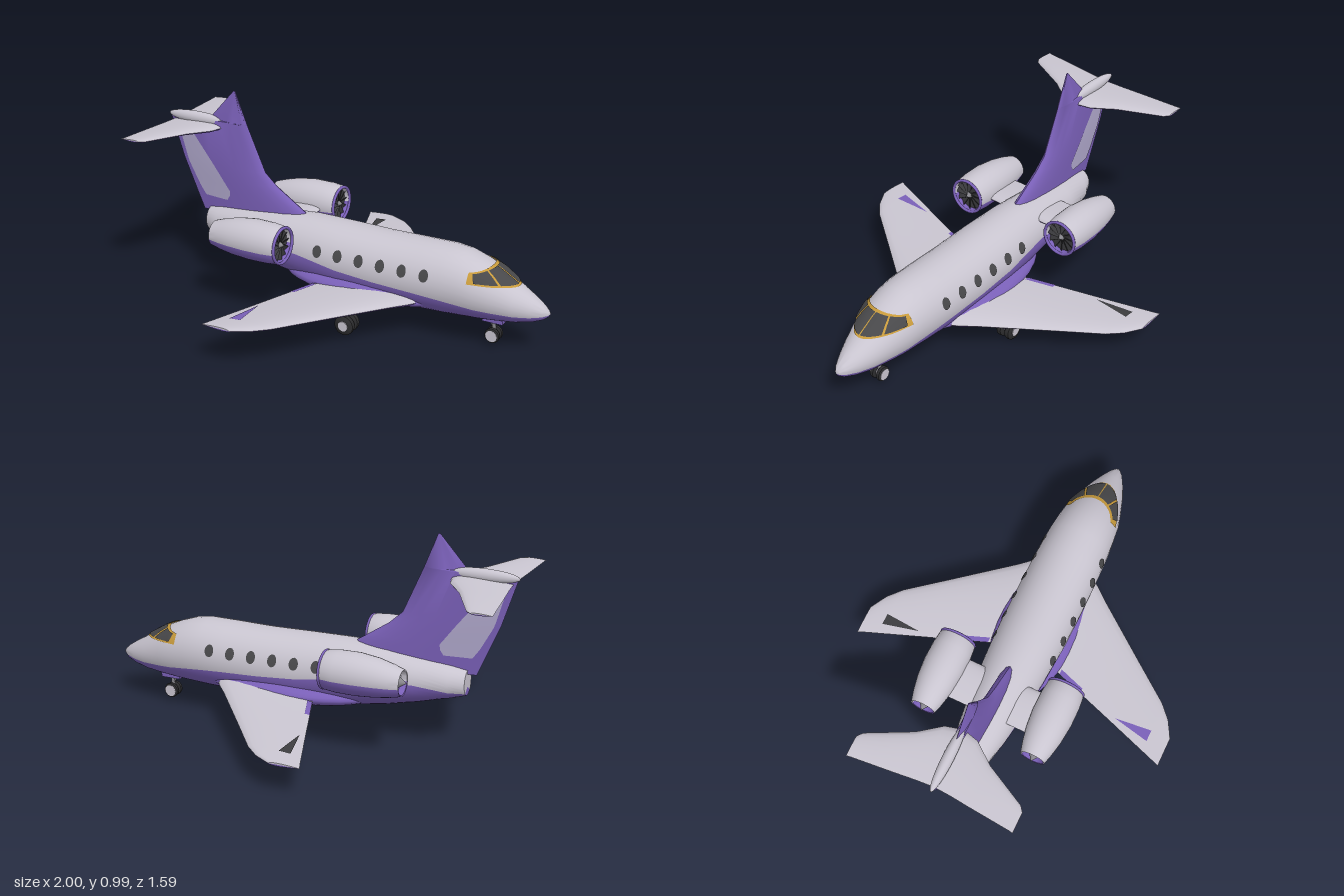
import * as THREE from 'three';
import { toCreasedNormals } from 'three/addons/utils/BufferGeometryUtils.js';
import { ParametricGeometry } from 'three/addons/geometries/ParametricGeometry.js';

const mat = (name, color, side = THREE.FrontSide) => {
  const m = new THREE.MeshStandardMaterial({ color, side });
  m.name = name;
  return m;
};
const V = (x, y, z) => new THREE.Vector3(x, y, z);

// Linear lookup in a table of rows sorted by their first column
function lookup(table, k) {
  let i = 0;
  while (i < table.length - 2 && k > table[i + 1][0]) i++;
  const a = table[i], b = table[i + 1];
  const f = THREE.MathUtils.clamp((k - a[0]) / (b[0] - a[0]), 0, 1);
  return a.map((v, j) => v + (b[j] - v) * f);
}

// Closed skin through rings; quads before index `split` use material 0, the rest material 1
function loft(rings, split, crease = 0.8) {
  const n = rings[0].length;
  const tip = r => {
    const c = r.reduce((s, p) => s.add(p), V(0, 0, 0)).divideScalar(n);
    return r.map(() => c);
  };
  const all = [tip(rings[0]), ...rings, tip(rings[rings.length - 1])];
  const pts = all.flat(), parts = [[], []];
  for (let i = 0; i < all.length - 1; i++) for (let j = 0; j < n; j++) {
    const a = i * n + j, b = i * n + (j + 1) % n;
    parts[j < split ? 0 : 1].push(a, b, a + n, b, b + n, a + n);
  }
  let vol = 0;
  const idx = parts.flat(), o = pts[0];
  for (let i = 0; i < idx.length; i += 3) {
    const [a, b, c] = [0, 1, 2].map(k => pts[idx[i + k]].clone().sub(o));
    vol += a.dot(b.cross(c));
  }
  if (vol < 0) for (let i = 0; i < idx.length; i += 3) [idx[i], idx[i + 1]] = [idx[i + 1], idx[i]];
  const g = new THREE.BufferGeometry().setFromPoints(pts);
  g.setIndex(idx);
  g.addGroup(0, parts[0].length, 0);
  g.addGroup(parts[0].length, parts[1].length, 1);
  return toCreasedNormals(g, crease);
}

// Fuselage stations: x, top, bottom, half width, paint line height
const BODY = [
  [-0.77, 0.38, 0.26, 0.05, 0.275], [-0.7, 0.395, 0.24, 0.085, 0.285], [-0.55, 0.415, 0.2, 0.115, 0.31],
  [-0.4, 0.435, 0.165, 0.135, 0.315], [-0.2, 0.45, 0.135, 0.152, 0.3], [0, 0.447, 0.12, 0.163, 0.27],
  [0.2, 0.443, 0.115, 0.165, 0.255], [0.4, 0.447, 0.118, 0.163, 0.245], [0.52, 0.449, 0.122, 0.158, 0.235],
  [0.6, 0.44, 0.126, 0.15, 0.225], [0.68, 0.413, 0.131, 0.14, 0.215], [0.75, 0.382, 0.136, 0.122, 0.208],
  [0.85, 0.322, 0.147, 0.09, 0.2], [0.92, 0.282, 0.162, 0.06, 0.2], [0.97, 0.249, 0.182, 0.033, 0.205],
  [0.992, 0.229, 0.2, 0.014, 0.21], [1, 0.217, 0.213, 0.002, 0.215]];
const bodyHalf = (x, y) => {
  const [, t, b, w] = lookup(BODY, x), s = (2 * y - t - b) / (t - b);
  return w * Math.sqrt(Math.max(0, 1 - s * s));
};

// Half thickness along a streamlined section, s = 0 at the leading edge
const foil = s => 5 * (0.2969 * Math.sqrt(s) - 0.126 * s - 0.3516 * s * s + 0.2843 * s ** 3 - 0.1036 * s ** 4);
function foilRing(le, te, thick, place, n = 10) {
  const ring = [];
  for (let i = 0; i < 2 * n; i++) {
    const s = 0.5 - 0.5 * Math.cos(Math.PI * i / n);
    ring.push(place(le + (te - le) * s, (i < n ? 1 : -1) * thick * foil(s)));
  }
  return ring;
}

// Fin stations: y, leading x, trailing x, thickness
const FIN = [
  [0.36, -0.18, -0.81, 0.07], [0.43, -0.21, -0.84, 0.07], [0.49, -0.3, -0.865, 0.064], [0.55, -0.39, -0.89, 0.06],
  [0.61, -0.455, -0.915, 0.055], [0.83, -0.55, -0.985, 0.04], [0.835, -0.552, -0.76, 0.036], [0.99, -0.612, -0.622, 0.006]];

export function createModel() {
  const root = new THREE.Group();
  const grey = mat('paleGreyPaint', 0xc9c5d0), purple = mat('purplePaint', 0x7a60b8);
  const lavender = mat('lavenderPanel', 0xb0a8cc, THREE.DoubleSide);
  const glass = mat('darkGlass', 0x48484a, THREE.DoubleSide), gold = mat('goldTrim', 0xc79a3c, THREE.DoubleSide);
  const rubber = mat('tyreRubber', 0x2c2c2e), metal = mat('metal', 0x87868c), dark = mat('engineDark', 0x3c3c3f);
  const twoTone = [grey, purple];
  const add = (name, geo, m, parent = root) => {
    const mesh = new THREE.Mesh(geo, m);
    mesh.name = name;
    parent.add(mesh);
    return mesh;
  };
  const patch = (name, fn, m, nu = 8, nv = 4) => {
    const g = new ParametricGeometry((u, v, p) => p.copy(fn(u, v)), nu, nv);
    g.computeVertexNormals();
    return add(name, g, m);
  };

  // Fuselage, grey above the paint line and purple below
  const N = 18;
  add('fuselage', loft(BODY.map(([x, t, b, w, line]) => {
    const cy = (t + b) / 2, h = (t - b) / 2, a0 = Math.asin((line - cy) / h), ring = [];
    for (let i = 0; i < 2 * N; i++) {
      const a = i < N ? a0 + (Math.PI - 2 * a0) * i / N : Math.PI - a0 + (Math.PI + 2 * a0) * (i - N) / N;
      ring.push(V(x, cy + h * Math.sin(a), w * Math.cos(a)));
    }
    return ring;
  }), N), twoTone);
  const fairing = add('bellyFairing', new THREE.SphereGeometry(1, 32, 16), purple);
  fairing.scale.set(0.44, 0.065, 0.2);
  fairing.position.set(0.1, 0.187, 0);

  // Cabin windows laid onto the skin
  for (const s of [1, -1]) for (let i = 0; i < 6; i++) {
    const g = new THREE.CircleGeometry(1, 16), p = g.attributes.position;
    for (let k = 0; k < p.count; k++) {
      const x = -0.095 + 0.109 * i + 0.023 * p.getX(k), y = 0.34 + 0.028 * p.getY(k);
      p.setXYZ(k, x, y, s * (bodyHalf(x, y) + 0.004));
    }
    g.computeVertexNormals();
    add('cabinWindow', g, glass);
  }

  // Windscreen: gold surround under four dark panes
  const screen = (u, y, lift) => {
    const z = Math.abs(u) * bodyHalf(0.645, y);
    let lo = 0.62, hi = 1;
    for (let k = 0; k < 30; k++) {
      const m = (lo + hi) / 2;
      if (y < lookup(BODY, m)[1] && bodyHalf(m, y) > z) lo = m; else hi = m;
    }
    return V(lo + lift, y + lift, Math.sign(u) * (z + lift * Math.abs(u)));
  };
  const pane = (name, u0, u1, grow, lift, m) => patch(name, (a, b) => {
    const u = u0 + (u1 - u0) * a, e = u * u;
    const y0 = 0.327 + 0.013 * e - grow, y1 = 0.389 - 0.016 * e + grow;
    return screen(u, y0 + (y1 - y0) * b, lift);
  }, m, 16, 5);
  pane('windscreenSurround', -1, 1, 0.006, 0.003, gold);
  for (const s of [1, -1]) {
    pane('windscreenPane', s * 0.02, s * 0.56, 0, 0.006, glass);
    pane('sideCockpitPane', s * 0.61, s * 0.95, 0, 0.006, glass);
  }

  // Wings and tailplane, each side with its own slope
  for (const s of [1, -1]) {
    const tipY = s > 0 ? 0.207 : 0.142;
    const wingY = z => 0.19 + (tipY - 0.19) * (z - 0.1) / 0.69;
    const wing = [[0.05, 0.47, -0.06, 0.06], [0.17, 0.39, -0.09, 0.055], [0.24, 0.33, -0.115, 0.043], [0.5, 0.127, -0.205, 0.032],
      [0.69, -0.02, -0.272, 0.025], [0.75, -0.085, -0.293, 0.022], [0.795, -0.165, -0.31, 0.014]];
    add(s > 0 ? 'nearWing' : 'farWing', loft(wing.map(([z, le, te, th]) =>
      foilRing(le, te, th, (x, h) => V(x, wingY(z) + h, s * z))), 10), twoTone);
    const onWing = (x, z) => {
      const [, le, te, th] = lookup(wing, z);
      return V(x, wingY(z) + th * foil(THREE.MathUtils.clamp((le - x) / (le - te), 0, 1)) + 0.003, s * z);
    };
    // Raised control panel near the trailing edge
    patch('wingPanel', (u, v) => onWing(-0.17 - 0.055 * v * u - 0.015 * (1 - v), 0.52 + 0.18 * v), s > 0 ? purple : dark)
      .material.side = THREE.DoubleSide;
    patch('flapEdge', (u, v) => onWing(lookup(wing, 0.19 + 0.13 * v)[2] + 0.025 * u, 0.19 + 0.13 * v), purple);

    const span = s > 0 ? 0.385 : 0.405, drop = s > 0 ? 0.012 : -0.018;
    const tail = [[0, -0.68, -0.96, 0.035], [0.2, -0.7, -0.965, 0.032], [0.45, -0.775, -0.975, 0.026],
      [0.95, -0.875, -0.993, 0.016], [1, -0.9, -0.996, 0.01]];
    add('tailplane', loft(tail.map(([f, le, te, th]) =>
      foilRing(le, te, th, (x, h) => V(x, 0.8 + drop * f + h, s * span * f))), 10), twoTone);
  }

  // Fin with its swept spike, side panels and the bullet at the tailplane
  add('fin', loft(FIN.map(([y, le, te, th]) => foilRing(le, te, th, (x, h) => V(x, y, h))), 10), [purple, purple]);
  const panel = [[0.44, -0.79, -0.66], [0.48, -0.82, -0.635], [0.6, -0.885, -0.725], [0.74, -0.925, -0.84], [0.765, -0.905, -0.87]];
  for (const s of [1, -1]) patch('finPanel', (u, v) => {
    const [y, a, b] = lookup(panel, 0.44 + 0.325 * v), x = a + (b - a) * u;
    const [, le, te, th] = lookup(FIN, y);
    return V(x, y, s * (th * foil((le - x) / (le - te)) + 0.004));
  }, lavender, 8, 13);
  const bullet = add('tailBullet', new THREE.SphereGeometry(1, 24, 12), grey);
  bullet.scale.set(0.165, 0.03, 0.026);
  bullet.position.set(-0.825, 0.826, 0);

  // Engines: two-tone nacelle, purple lip, fan, spinner, exhaust cone and pylon
  const shell = [[-0.235, 0.074], [-0.21, 0.077], [-0.2, 0.084], [-0.215, 0.09], [-0.27, 0.096], [-0.36, 0.097],
    [-0.45, 0.088], [-0.52, 0.074], [-0.57, 0.06], [-0.568, 0.054], [-0.54, 0.052]];
  for (const s of [1, -1]) {
    const engine = new THREE.Group();
    engine.name = 'engine';
    engine.position.set(0, 0.395, s > 0 ? 0.272 : -0.286);
    root.add(engine);
    add('nacelle', loft(shell.map(([x, r]) => Array.from({ length: 32 }, (_, i) => {
      const a = -0.2 + (i < 16 ? (Math.PI + 0.4) * i / 16 : Math.PI + 0.4 + (Math.PI - 0.4) * (i - 16) / 16);
      return V(x, r * Math.sin(a) - (x < -0.4 ? (-0.4 - x) * 0.06 : 0), r * Math.cos(a));
    })), 16), twoTone, engine);
    const lip = add('inletLip', new THREE.TorusGeometry(0.084, 0.0075, 8, 32), purple, engine);
    lip.rotation.y = Math.PI / 2;
    lip.position.x = -0.204;
    const disc = add('fanDisc', new THREE.CylinderGeometry(0.077, 0.077, 0.006, 32), dark, engine);
    disc.rotation.z = Math.PI / 2;
    disc.position.x = -0.231;
    for (let i = 0; i < 12; i++) {
      const hub = new THREE.Group();
      hub.name = 'fanBladeMount';
      hub.rotation.x = i * Math.PI / 6;
      engine.add(hub);
      const blade = add('fanBlade', new THREE.BoxGeometry(0.003, 0.058, 0.018), dark, hub);
      blade.position.set(-0.221, 0.045, 0);
      blade.rotation.y = 0.6;
    }
    const spinner = add('spinner', new THREE.ConeGeometry(0.02, 0.035, 16), metal, engine);
    spinner.rotation.z = -Math.PI / 2;
    spinner.position.x = -0.212;
    const exhaust = add('exhaustCone', new THREE.ConeGeometry(0.034, 0.05, 20), metal, engine);
    exhaust.rotation.z = Math.PI / 2;
    exhaust.position.set(-0.562, -0.009, 0);
    add('pylon', loft([0.08, 0.21].map(z => foilRing(-0.27, -0.475, 0.035, (x, h) => V(x, 0.385 + h, s * z))), 10), twoTone);
  }

  // Landing gear: strut, axle and a pair of wheels
  const gear = (name, x, y, z, r, width, gap, top) => {
    const g = new THREE.Group();
    g.name = name;
    g.position.set(x, y, z);
    root.add(g);
    add('strut', new THREE.CylinderGeometry(0.009, 0.009, top - y, 10), metal, g).position.y = (top - y) / 2;
    const brace = add('brace', new THREE.CylinderGeometry(0.005, 0.005, 0.09, 8), metal, g);
    brace.position.set(-0.02, (top - y) * 0.65, 0);
    brace.rotation.z = 0.6;
    add('axle', new THREE.CylinderGeometry(0.008, 0.008, gap * 2, 10), metal, g).rotation.x = Math.PI / 2;
    const half = width / 2;
    const tyre = [[0, -half], [r * 0.8, -half], [r * 0.97, -half * 0.6], [r, 0], [r * 0.97, half * 0.6], [r * 0.8, half], [0, half]];
    for (const s of [1, -1]) {
      add('tyre', toCreasedNormals(new THREE.LatheGeometry(tyre.map(p => new THREE.Vector2(...p)), 24), 0.7), rubber, g)
        .rotation.x = Math.PI / 2;
      g.children.at(-1).position.z = s * gap;
      const cap = add('wheelHub', new THREE.CylinderGeometry(r * (r < 0.04 ? 0.78 : 0.5), r * 0.5, width + 0.006, 16), grey, g);
      cap.rotation.x = s * Math.PI / 2;
      cap.position.z = s * gap;
    }
  };
  gear('noseGear', 0.735, 0.052, 0, 0.036, 0.024, 0.018, 0.15);
  gear('mainGearNear', 0.12, 0.073, 0.257, 0.048, 0.034, 0.023, 0.19);
  gear('mainGearFar', 0.12, 0.048, -0.247, 0.048, 0.034, 0.023, 0.18);
  add('noseGearDoor', new THREE.BoxGeometry(0.1, 0.02, 0.05), purple).position.set(0.735, 0.127, 0);
  return root;
}
